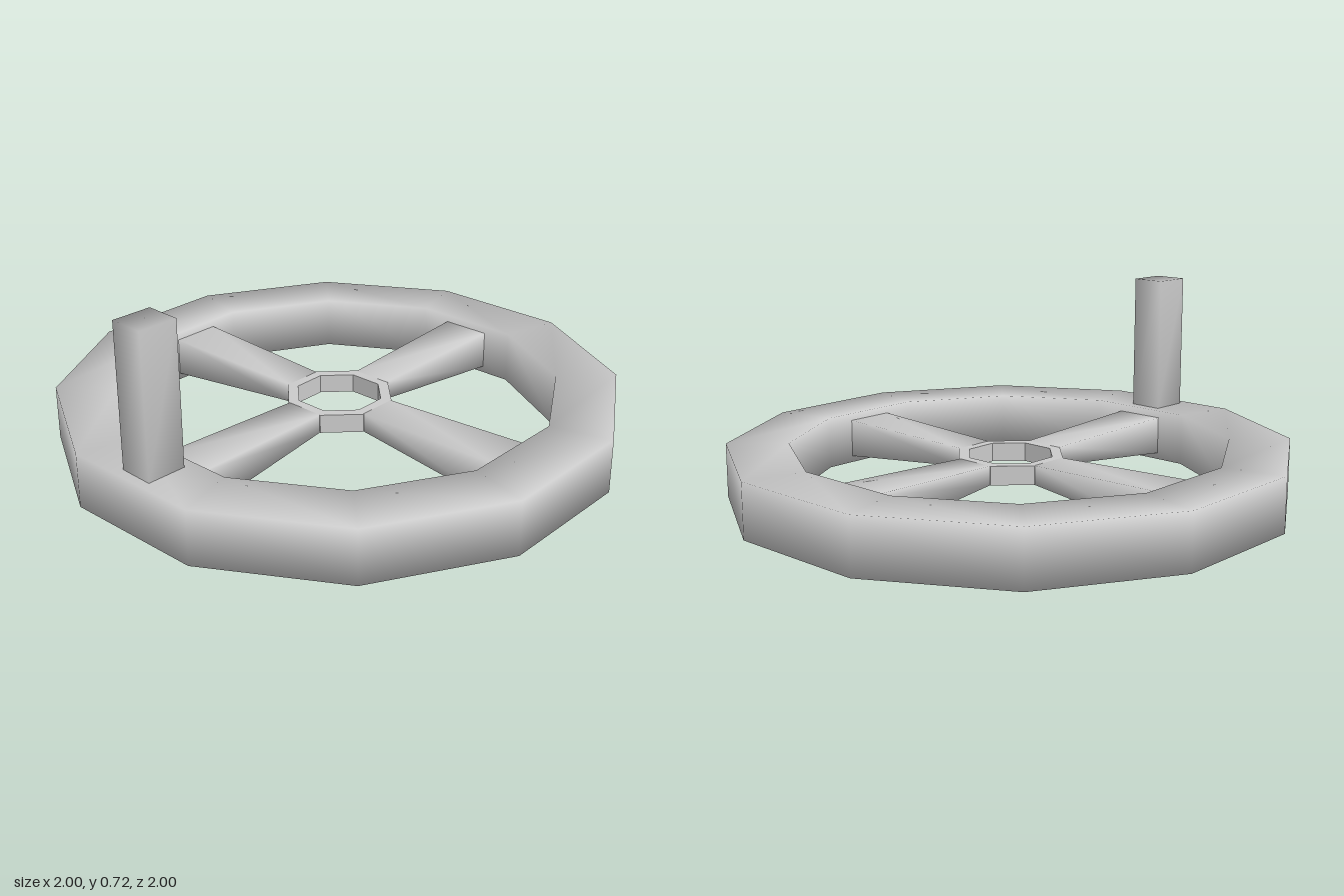
import * as THREE from 'three';

const material = new THREE.MeshStandardMaterial({ color: 0xcccccc });
const flatMaterial = new THREE.MeshStandardMaterial({ color: 0xcccccc, flatShading: true });

// Skins four-cornered cross-sections; shared corners give soft normals.
function loft(sections, { closed = false, caps = false } = {}) {
  const index = [];
  const count = sections.length;
  const spans = closed ? count : count - 1;
  for (let i = 0; i < spans; i++) {
    const n = (i + 1) % count;
    for (let j = 0; j < 4; j++) {
      const k = (j + 1) % 4;
      const a = i * 4 + j, b = i * 4 + k, c = n * 4 + k, d = n * 4 + j;
      index.push(a, b, c, a, c, d);
    }
  }
  if (caps) {
    const e = (count - 1) * 4;
    index.push(0, 2, 1, 0, 3, 2, e, e + 1, e + 2, e, e + 2, e + 3);
  }
  const geometry = new THREE.BufferGeometry();
  geometry.setAttribute('position', new THREE.Float32BufferAttribute(sections.flat(2), 3));
  geometry.setIndex(index);
  geometry.computeVertexNormals();
  return geometry;
}

// Polygonal ring of rectangular section, with a flat side facing each axis.
function ring(sides, outer, inner, low, high) {
  const sections = [];
  for (let i = 0; i < sides; i++) {
    const angle = ((i + 0.5) / sides) * Math.PI * 2;
    const point = (r, y) => [r * Math.sin(angle), y, r * Math.cos(angle)];
    sections.push([point(outer, high), point(outer, low), point(inner, low), point(inner, high)]);
  }
  return loft(sections, { closed: true });
}

// Upright rectangular section of a spoke at distance z.
const spokeSection = (z, w, low, high) => [[w, high, z], [-w, high, z], [-w, low, z], [w, low, z]];

// Level rectangular section of the handle at height y.
const handleSection = (y, w, d) => [[w, y, d], [w, y, -d], [-w, y, -d], [-w, y, d]];

export function createModel() {
  const model = new THREE.Group();
  model.name = 'handwheel';
  const add = (name, geometry, mat = material) => {
    const mesh = new THREE.Mesh(geometry, mat);
    mesh.name = name;
    model.add(mesh);
    return mesh;
  };

  // Twelve-sided rim
  add('rim', ring(12, 1.035, 0.807, 0, 0.2));

  // Open eight-sided hub
  add('hub', ring(8, 0.203, 0.162, 0.085, 0.155), flatMaterial);

  // Four spokes, thickening toward the rim
  const spoke = loft([
    spokeSection(0.185, 0.075, 0.085, 0.155),
    spokeSection(0.782, 0.095, 0.025, 0.172),
  ]);
  for (let i = 0; i < 4; i++) {
    add(`spoke${i + 1}`, spoke).rotation.y = (i * Math.PI) / 2;
  }

  // Upright handle, turned slightly on the rim
  const handle = add('handle', loft([
    handleSection(0.19, 0.065, 0.073),
    handleSection(0.72, 0.065, 0.073),
  ], { caps: true }));
  handle.position.set(-0.002, 0, 0.892);
  handle.rotation.y = -0.03;

  return model;
}
